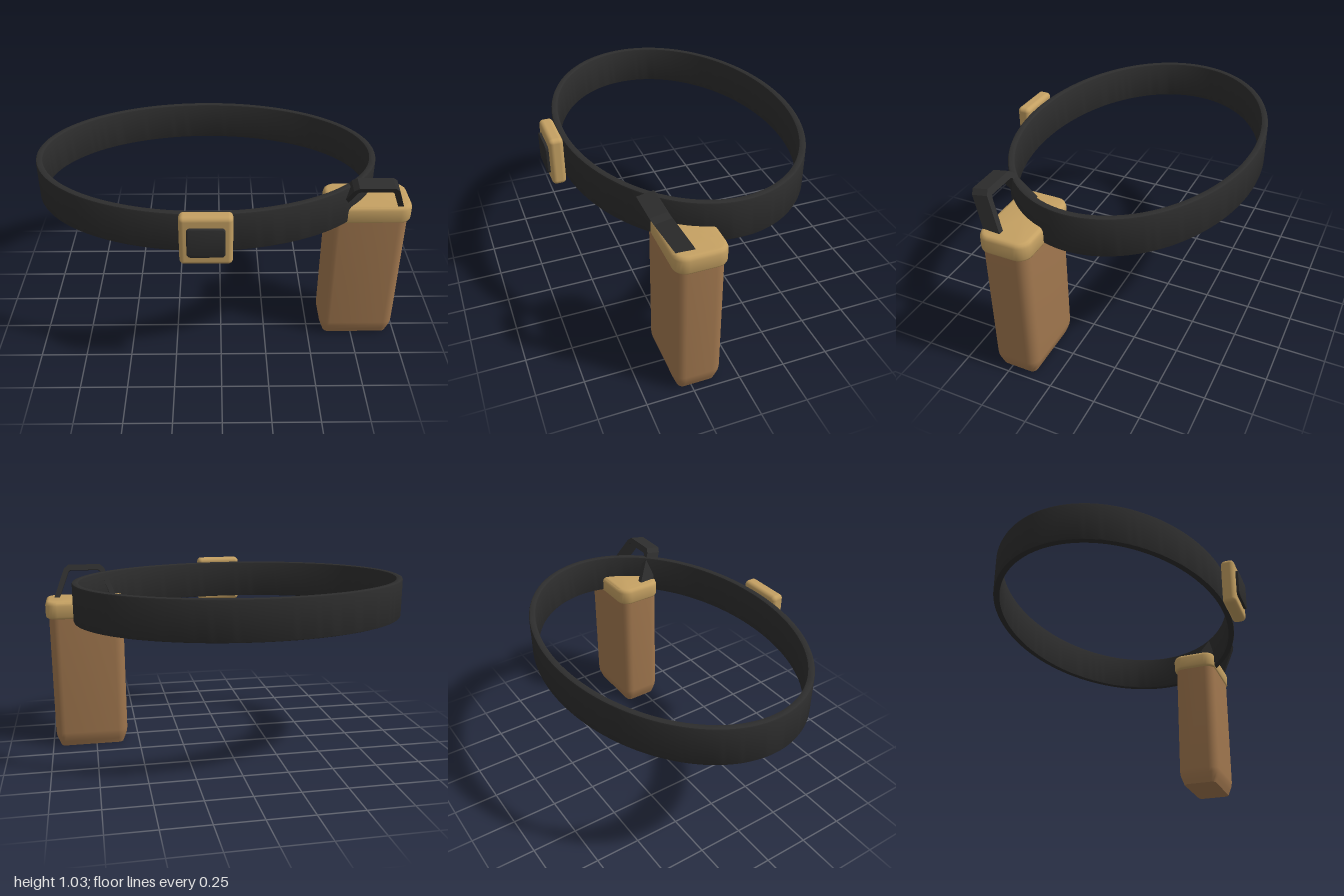
import * as THREE from 'three';
import { toCreasedNormals } from 'three/addons/utils/BufferGeometryUtils.js';
import { RoundedBoxGeometry } from 'three/addons/geometries/RoundedBoxGeometry.js';

// Rounded rectangle outline centred on the origin
function roundedRect(w, d, r) {
  const s = new THREE.Shape();
  const corners = [[1, 1, 0], [-1, 1, 1], [-1, -1, 2], [1, -1, 3]];
  for (const [sx, sy, q] of corners) {
    s.absarc(sx * (w / 2 - r), sy * (d / 2 - r), r, q * Math.PI / 2, (q + 1) * Math.PI / 2, false);
  }
  s.closePath();
  return s;
}

// Upright loft of rounded rectangles; rings are [y, inset] from bottom to top
function loft(w, d, r, rings) {
  const pos = [], idx = [];
  let n = 0;
  for (const [y, inset] of rings) {
    const pts = [];
    for (let q = 0; q < 4; q++) {
      const sx = q === 0 || q === 3 ? 1 : -1, sz = q < 2 ? 1 : -1;
      for (let i = 0; i <= 6; i++) {
        const a = (q + i / 6) * Math.PI / 2, rr = r - inset;
        pts.push([sx * (w / 2 - r) + rr * Math.cos(a), sz * (d / 2 - r) + rr * Math.sin(a)]);
      }
    }
    n = pts.length;
    for (const [x, z] of pts) pos.push(x, y, z);
  }
  const last = (rings.length - 1) * n;
  for (let k = 0; k < rings.length - 1; k++) {
    for (let i = 0; i < n; i++) {
      const a = k * n + i, b = k * n + (i + 1) % n;
      idx.push(a, a + n, b, b, a + n, b + n);
    }
  }
  // Close both ends with fans
  const bottom = pos.length / 3;
  pos.push(0, rings[0][0], 0, 0, rings[rings.length - 1][0], 0);
  for (let i = 0; i < n; i++) {
    const j = (i + 1) % n;
    idx.push(bottom, i, j, bottom + 1, last + j, last + i);
  }
  const g = new THREE.BufferGeometry();
  g.setAttribute('position', new THREE.Float32BufferAttribute(pos, 3));
  g.setIndex(idx);
  return toCreasedNormals(g, 0.75);
}

export function createModel() {
  const strap = new THREE.MeshStandardMaterial({ color: 0x2d2d2d });
  strap.name = 'black strap';
  const tan = new THREE.MeshStandardMaterial({ color: 0xc4a062 });
  tan.name = 'tan trim';
  const leather = new THREE.MeshStandardMaterial({ color: 0xa2784f });
  leather.name = 'brown leather';

  const model = new THREE.Group();
  const add = (name, geo, mat, x, y, z) => {
    const m = new THREE.Mesh(geo, mat);
    m.name = name;
    m.position.set(x, y, z);
    model.add(m);
    return m;
  };

  // Oval belt with softened rims
  const ring = new THREE.Shape().absellipse(0, 0, 0.922, 0.65, 0, Math.PI * 2, false);
  ring.holes.push(new THREE.Path().absellipse(0, 0, 0.886, 0.614, 0, Math.PI * 2, true));
  const bevel = 0.008;
  const beltGeo = new THREE.ExtrudeGeometry(ring, {
    depth: 0.215 - 2 * bevel, curveSegments: 96, bevelThickness: bevel,
    bevelSize: bevel, bevelOffset: -bevel, bevelSegments: 2,
  });
  beltGeo.rotateX(-Math.PI / 2);
  add('belt', toCreasedNormals(beltGeo, 0.6), strap, -0.078, 0.775 + bevel, -0.045);

  // Buckle and its dark centre plate
  add('buckle', new RoundedBoxGeometry(0.26, 0.27, 0.075, 4, 0.024), tan, -0.075, 0.88, 0.642);
  const plateGeo = new THREE.ExtrudeGeometry(roundedRect(0.186, 0.16, 0.02), {
    depth: 0.028, bevelThickness: 0.005, bevelSize: 0.005, bevelOffset: -0.005, bevelSegments: 2, curveSegments: 5,
  });
  add('bucklePlate', toCreasedNormals(plateGeo, 0.6), strap, -0.075, 0.88, 0.662);

  // Pouch body with a tapered, rounded base
  const px = 0.774, pz = 0.216;
  add('pouchBody', loft(0.414, 0.25, 0.055,
    [[0, 0.026], [0.03, 0.014], [0.06, 0.003], [0.085, 0], [0.79, 0]]), leather, px, 0, pz);

  // Pouch lid
  add('pouchLid', loft(0.448, 0.27, 0.065,
    [[0.763, 0.012], [0.768, 0.004], [0.777, 0], [0.838, 0], [0.852, 0.005], [0.859, 0.014], [0.861, 0.024]]),
    tan, px, 0, pz - 0.003);

  // Three-sided carry loop, leaning forward off the lid
  const loop = new THREE.Shape([
    [-0.18, -0.02], [-0.115, 0.145], [-0.09, 0.165], [0.09, 0.165], [0.115, 0.145], [0.18, -0.02],
    [0.15, -0.02], [0.09, 0.128], [0.08, 0.135], [-0.08, 0.135], [-0.09, 0.128], [-0.15, -0.02],
  ].map(([x, y]) => new THREE.Vector2(x, y)));
  const loopGeo = new THREE.ExtrudeGeometry(loop, { depth: 0.085, bevelEnabled: false });
  const p = loopGeo.attributes.position;
  for (let i = 0; i < p.count; i++) {
    const y = p.getY(i), z = p.getZ(i);
    p.setXYZ(i, p.getX(i), y - 0.18 * z, z + 0.58 * y);
  }
  loopGeo.computeVertexNormals();
  add('carryLoop', toCreasedNormals(loopGeo, 0.5), strap, px, 0.868, 0.243);

  return model;
}
